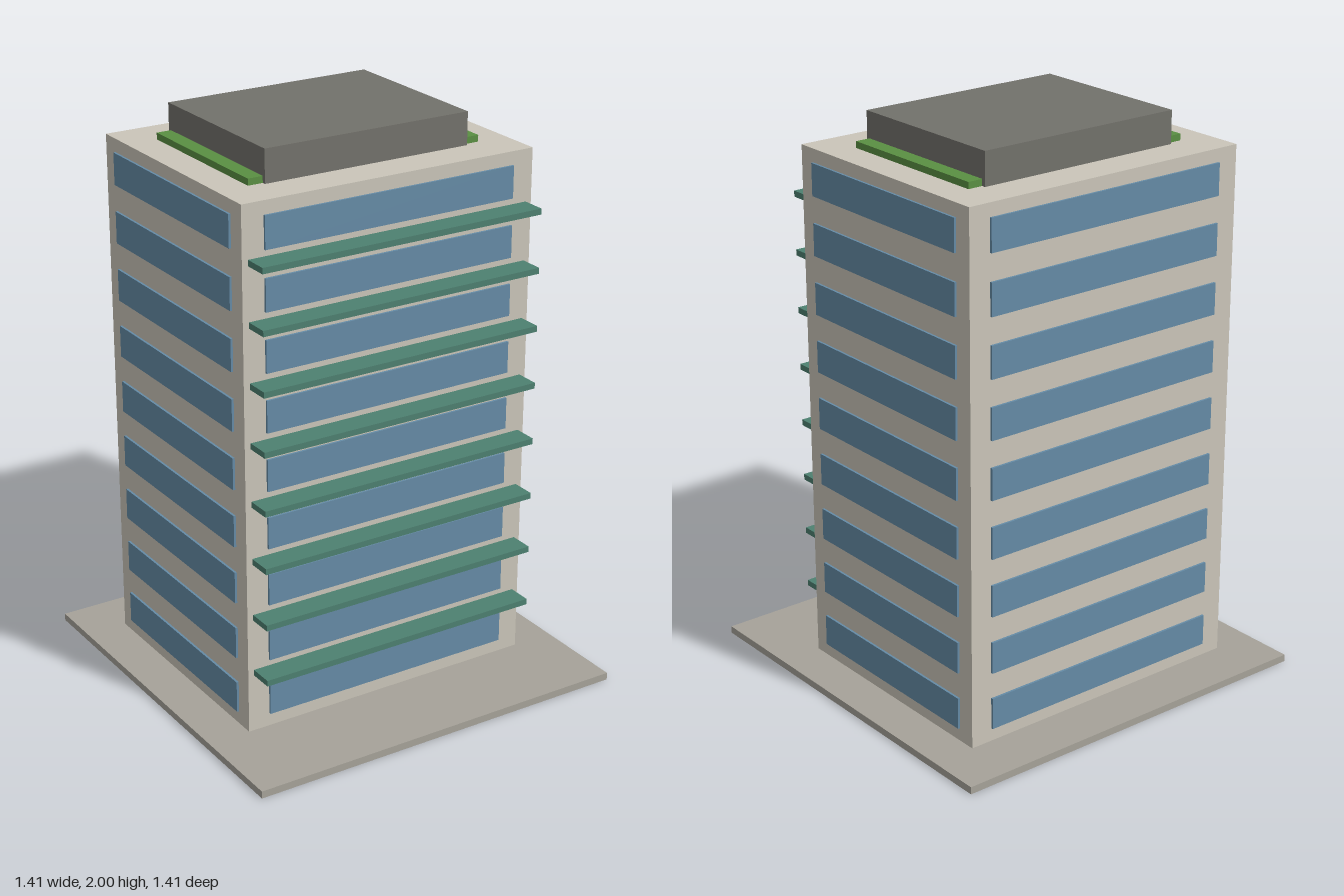
import * as THREE from 'three';

const material = (name, color) => {
  const m = new THREE.MeshStandardMaterial({ color });
  m.name = name;
  return m;
};

export function createModel() {
  const building = new THREE.Group();
  building.name = 'officeTower';

  const wall = material('wall', 0xcac5b9);
  const paving = material('paving', 0xa6a299);
  const glass = material('glass', 0x658ba6);
  const teal = material('balconyTeal', 0x4d8070);
  const green = material('roofGreen', 0x5a8f42);
  const grey = material('roofGrey', 0x72716b);

  // Box given by its lower and upper corners
  const box = (name, mat, [x0, y0, z0], [x1, y1, z1], parent = building) => {
    const mesh = new THREE.Mesh(new THREE.BoxGeometry(x1 - x0, y1 - y0, z1 - z0), mat);
    mesh.position.set((x0 + x1) / 2, (y0 + y1) / 2, (z0 + z1) / 2);
    mesh.name = name;
    parent.add(mesh);
  };

  const X = 0.555, BACK = -0.52, FRONT = 0.37, ROOF = 1.885;
  const FLOORS = 9, PITCH = 0.2065, PANE = 0.008;

  // Ground slab and main block
  box('groundSlab', paving, [-0.707, 0, -0.707], [0.707, 0.026, 0.707]);
  box('tower', wall, [-X, 0.026, BACK], [X, ROOF, FRONT]);

  // Window bands on all four sides, with a balcony between storeys at the front
  for (let i = 0; i < FLOORS; i++) {
    const floor = new THREE.Group();
    floor.name = `floor${i + 1}`;
    building.add(floor);
    const y0 = 0.073 + i * PITCH, y1 = y0 + 0.113;
    box('frontWindow', glass, [-0.475, y0, FRONT], [0.475, y1, FRONT + PANE], floor);
    box('backWindow', glass, [-0.475, y0, BACK - PANE], [0.475, y1, BACK], floor);
    box('leftWindow', glass, [X, y0, -0.455], [X + PANE, y1, 0.305], floor);
    box('rightWindow', glass, [-X - PANE, y0, -0.455], [-X, y1, 0.305], floor);
    if (i < FLOORS - 1) {
      const b = 0.236 + i * PITCH;
      box('balcony', teal, [-0.533, b, FRONT], [0.533, b + 0.021, 0.457], floor);
    }
  }

  // Roof garden and plant room
  box('roofGarden', green, [-0.442, ROOF, -0.372], [0.442, 1.908, 0.221]);
  box('plantRoom', grey, [-0.388, ROOF, -0.386], [0.388, 2, 0.234]);

  return building;
}
